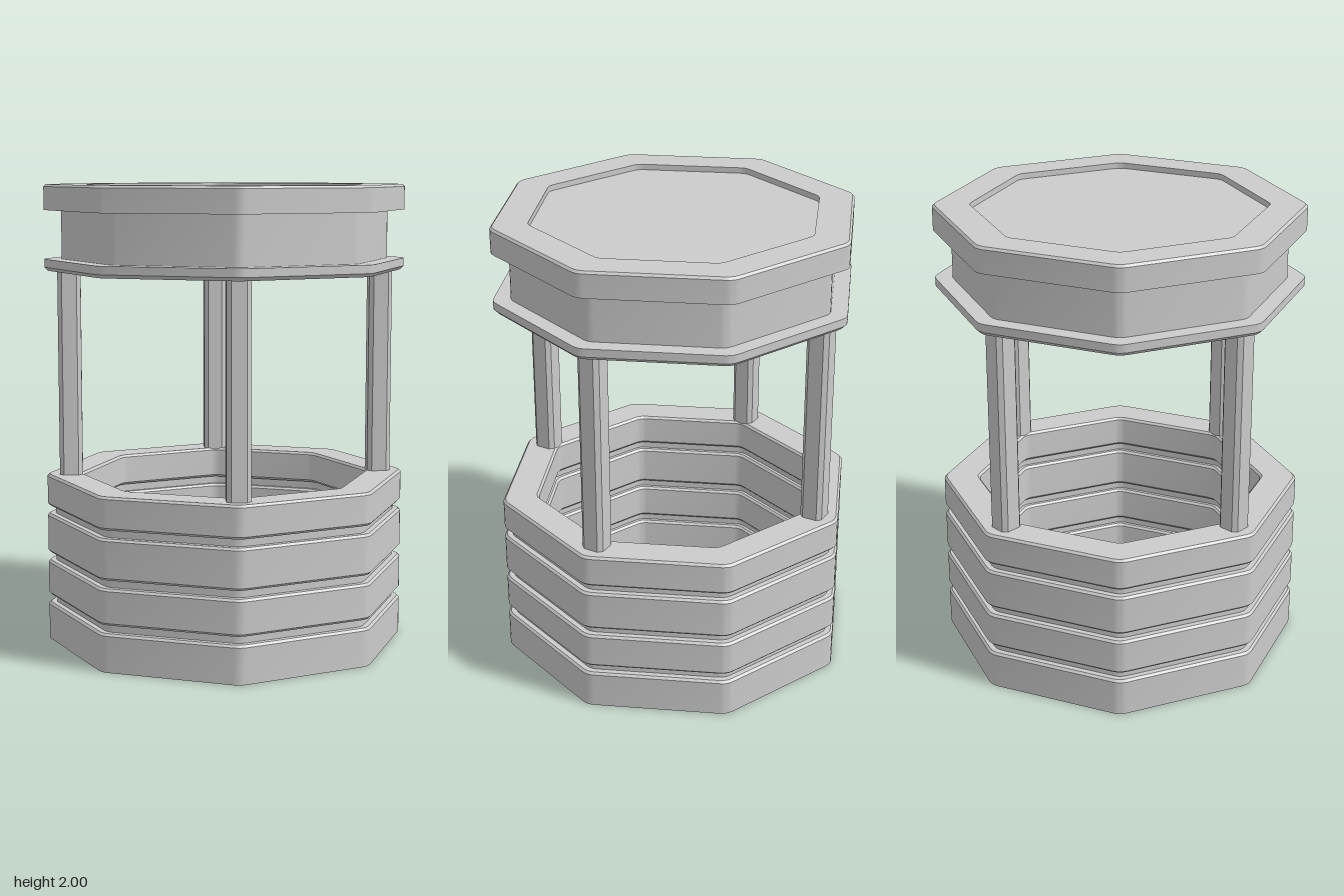
import * as THREE from 'three';
import { toCreasedNormals } from 'three/addons/utils/BufferGeometryUtils.js';

const SIDES = 8, OUTER = 0.79, GROOVE = 0.755, INNER = 0.63, INNER_GROOVE = 0.655, BEVEL = 0.01;
const material = new THREE.MeshStandardMaterial({ color: 0xcccccc, side: THREE.DoubleSide });

// Octagon ring with softened corners, one corner on each axis
function octagonRing(r, y) {
  const corner = (k) => {
    const a = (k / SIDES) * Math.PI * 2;
    return new THREE.Vector3(Math.sin(a) * r, y, Math.cos(a) * r);
  };
  const ring = [];
  for (let k = 0; k < SIDES; k++) {
    const c = corner(k), t = 0.05;
    const before = c.clone().lerp(corner(k - 1), t);
    const after = c.clone().lerp(corner(k + 1), t);
    ring.push(...new THREE.QuadraticBezierCurve3(before, c, after).getPoints(3));
  }
  return ring;
}

// Sweeps a [radius, height] profile around the octagon
function octagonLathe(name, profile) {
  const rings = profile.map(([r, y]) => octagonRing(r, y));
  const positions = [];
  const tri = (...points) => points.forEach((p) => positions.push(p.x, p.y, p.z));
  for (let i = 0; i < rings.length - 1; i++) {
    const low = rings[i], high = rings[i + 1];
    for (let j = 0; j < low.length; j++) {
      const n = (j + 1) % low.length;
      if (profile[i][0] > 0) tri(low[j], low[n], high[n]);
      if (profile[i + 1][0] > 0) tri(low[j], high[n], high[j]);
    }
  }
  const geometry = new THREE.BufferGeometry();
  geometry.setAttribute('position', new THREE.Float32BufferAttribute(positions, 3));
  const mesh = new THREE.Mesh(toCreasedNormals(geometry, Math.PI / 6), material);
  mesh.name = name;
  return mesh;
}

// Stacked courses with grooves between them, outside and inside, open below
function createBasin() {
  const courses = [[0, 0.165], [0.2, 0.355], [0.39, 0.565], [0.6, 0.74]];
  const last = courses.length - 1;
  const wall = (r, groove) => {
    const b = Math.sign(r - groove) * BEVEL;
    const points = [];
    courses.forEach(([y0, y1], i) => {
      if (i > 0) points.push([groove, y0], [r - b, y0], [r, y0 + BEVEL]);
      else points.push([r, y0]);
      points.push([r, y1 - BEVEL], [r - b, y1]);
      if (i < last) points.push([groove, y1]);
    });
    return points;
  };
  const outside = wall(OUTER, GROOVE);
  const inside = wall(INNER, INNER_GROOVE).reverse();
  return octagonLathe('basin', [...outside, ...inside]);
}

// Hollow roof: lower flange, recessed neck and a lid with a sunken panel
function createRoof() {
  return octagonLathe('roof', [
    [0, 1.83], [INNER, 1.83], [INNER, 1.63],
    [OUTER - 0.015, 1.63], [OUTER, 1.645], [OUTER, 1.68], [0.715, 1.68],
    [0.715, 1.89], [OUTER, 1.89], [OUTER, 2 - BEVEL], [OUTER - BEVEL, 2],
    [INNER, 2], [INNER, 1.975], [0, 1.975],
  ]);
}

// Square post with chamfered edges
function createPostGeometry() {
  const h = 0.05, c = 0.032;
  const outline = [[h, -c], [h, c], [c, h], [-c, h], [-h, c], [-h, -c], [-c, -h], [c, -h]];
  const shape = new THREE.Shape(outline.map(([x, y]) => new THREE.Vector2(x, y)));
  const geometry = new THREE.ExtrudeGeometry(shape, { depth: 0.92, bevelEnabled: false });
  return geometry.rotateX(-Math.PI / 2).rotateY(Math.PI / 4);
}

export function createModel() {
  const model = new THREE.Group();
  model.name = 'well';
  model.add(createBasin(), createRoof());

  // Four posts on the diagonals
  const postGeometry = createPostGeometry();
  for (const [x, xName] of [[1, 'Left'], [-1, 'Right']]) {
    for (const [z, zName] of [[1, 'front'], [-1, 'back']]) {
      const post = new THREE.Mesh(postGeometry, material);
      post.name = zName + xName + 'Post';
      post.position.set(x * 0.48, 0.73, z * 0.48);
      model.add(post);
    }
  }
  return model;
}
